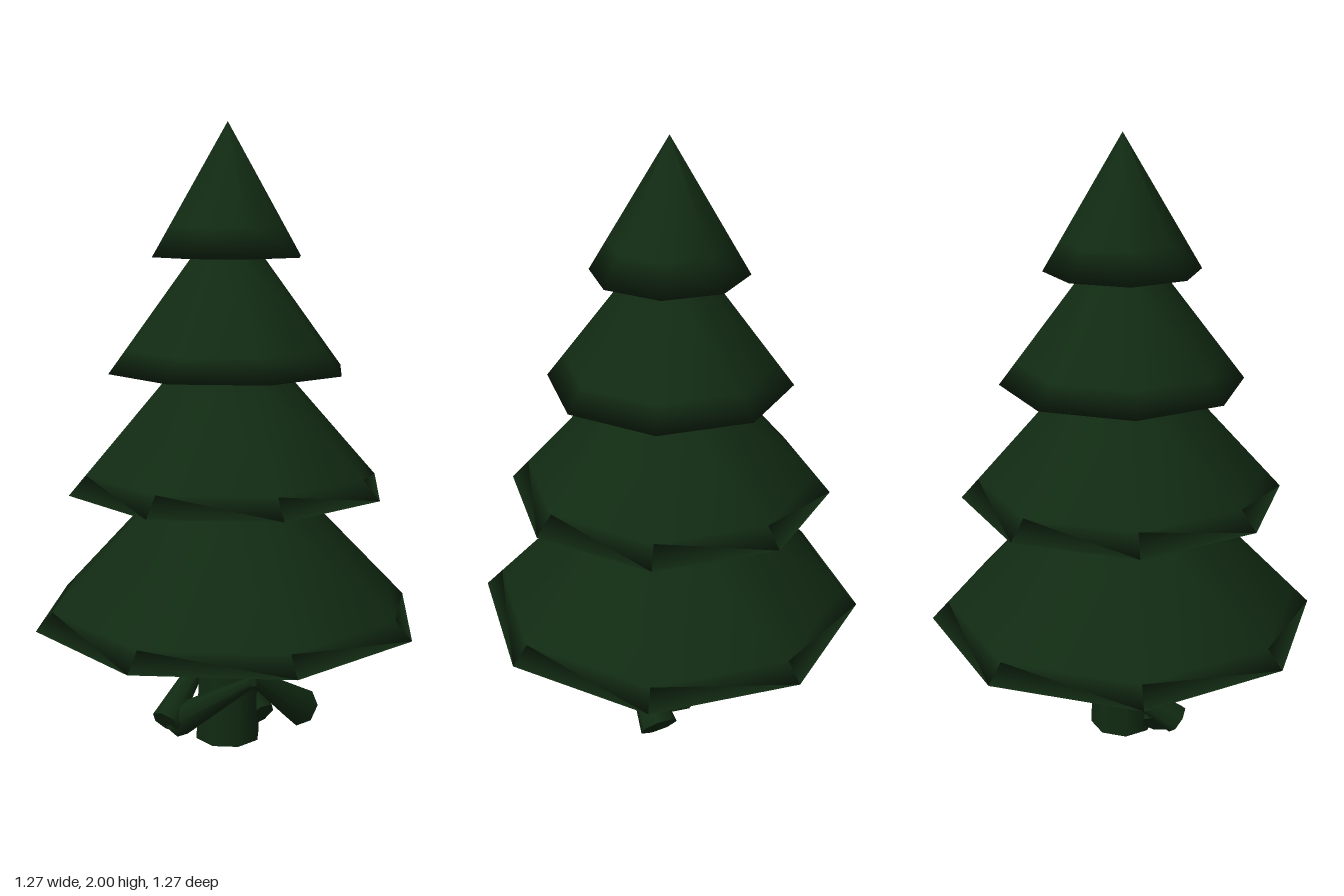
import * as THREE from 'three';

export function createModel() {
  const tree = new THREE.Group();
  tree.name = 'pineTree';
  const green = new THREE.MeshStandardMaterial({ color: 0x112a12 });
  green.name = 'dark pine green';

  const add = (name, geometry) => {
    const mesh = new THREE.Mesh(geometry, green);
    mesh.name = name;
    tree.add(mesh);
    return mesh;
  };

  // Trunk
  add('trunk', new THREE.CylinderGeometry(0.09, 0.11, 0.45, 8)).position.y = 0.225;

  // Foliage tiers: [rim radius, rim height, top radius, top height]
  const tiers = [
    [0.635, 0.43, 0.21, 0.87],
    [0.52, 0.86, 0.17, 1.25],
    [0.388, 1.235, 0.11, 1.6],
    [0.245, 1.59, 0, 2],
  ];
  tiers.forEach(([r, y, topR, topY], i) => {
    const k = 0.055 / (r - topR); // loop just inside the rim, on the slope
    const profile = [
      [0, y], [r, y],
      [r + (topR - r) * k, y + (topY - y) * k],
      [topR, topY],
    ].map(([px, py]) => new THREE.Vector2(px, py));
    add('foliageTier' + (i + 1), new THREE.LatheGeometry(profile, 8));
  });

  // Tapered stubs crossing the trunk: thick end, thin end, thick radius
  const stubs = [
    [[0.26, 0.065, 0.01], [0, 0.28, 0.16], 0.065],
    [[-0.22, 0.08, 0.02], [0, 0.28, -0.16], 0.05],
    [[-0.17, 0.06, -0.02], [0, 0.28, 0.25], 0.055],
    [[0.1, 0.07, 0.04], [0, 0.28, -0.25], 0.055],
  ];
  const up = new THREE.Vector3(0, 1, 0);
  stubs.forEach(([from, to, radius], i) => {
    const a = new THREE.Vector3(...from);
    const b = new THREE.Vector3(...to);
    const axis = b.clone().sub(a);
    const stub = add('branchStub' + (i + 1), new THREE.CylinderGeometry(0.018, radius, axis.length(), 7));
    stub.position.copy(a).add(b).multiplyScalar(0.5);
    stub.quaternion.setFromUnitVectors(up, axis.normalize());
  });

  return tree;
}
